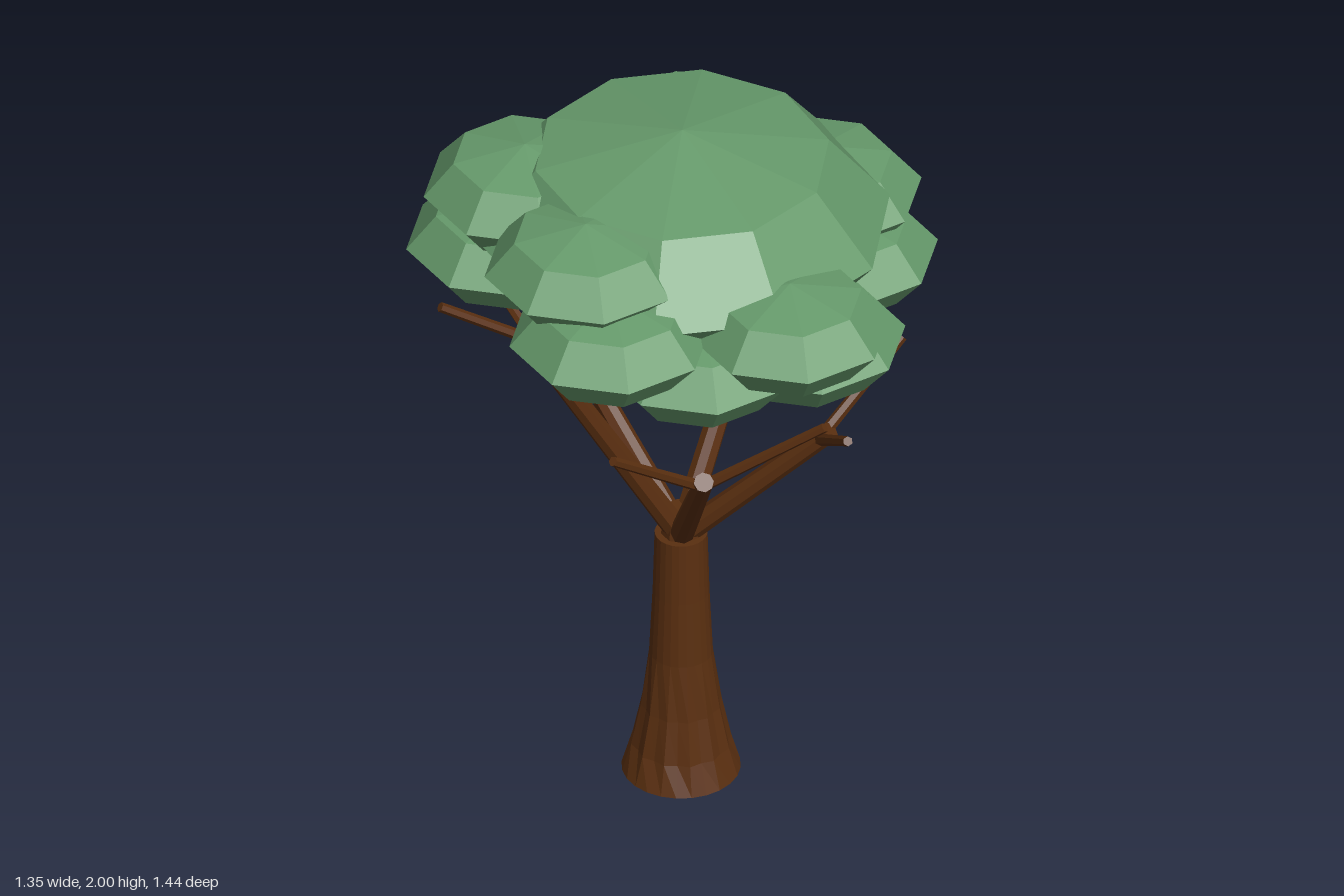
import * as THREE from 'three';

export function createModel() {
  const bark = new THREE.MeshStandardMaterial({ color: 0x5a2f10, flatShading: true });
  bark.name = 'brown bark';
  const leaf = new THREE.MeshStandardMaterial({ color: 0x669a6b, flatShading: true });
  leaf.name = 'leaf green';

  const tree = new THREE.Group();
  tree.name = 'tree';
  const add = (name, geometry, material) => {
    const mesh = new THREE.Mesh(geometry, material);
    mesh.name = name;
    tree.add(mesh);
    return mesh;
  };

  // Flared trunk, with shallow grooves between the roots
  const profile = [[0, 0], [0.153, 0], [0.13, 0.08], [0.105, 0.2], [0.082, 0.36], [0.073, 0.55], [0.068, 0.73], [0, 0.73]];
  const trunk = new THREE.LatheGeometry(profile.map(([r, y]) => new THREE.Vector2(r, y)), 24);
  const p = trunk.attributes.position;
  for (let i = 0; i < p.count; i++) {
    const y = p.getY(i);
    const side = Math.floor(i / profile.length);
    if (side % 2 && y > 0.01 && y < 0.3) {
      const k = y < 0.1 ? 0.93 : 0.94;
      p.setX(i, p.getX(i) * k);
      p.setZ(i, p.getZ(i) * k);
    }
  }
  trunk.computeVertexNormals();
  add('trunk', trunk, bark);
  const stub = add('trunkTop', new THREE.CylinderGeometry(0.046, 0.055, 0.1, 8), bark);
  stub.position.y = 0.75;

  // Straight tapered limb between two points
  const up = new THREE.Vector3(0, 1, 0);
  function limb(name, a, b, r0, r1, sides) {
    const dir = b.clone().sub(a);
    const mesh = add(name, new THREE.CylinderGeometry(r1, r0, dir.length(), sides), bark);
    mesh.position.copy(a).add(b).multiplyScalar(0.5);
    mesh.quaternion.setFromUnitVectors(up, dir.normalize());
  }

  // Five main branches, each forking into two twigs
  const root = new THREE.Vector3(0, 0.72, 0);
  const branches = [
    { end: [-0.36, 1.36, 0.09], twigs: [[-0.41, 1.54, 0.33], [-0.45, 1.45, -0.15]] },
    { end: [-0.03, 1.23, 0.49], twigs: [[0.27, 1.42, 0.57], [-0.29, 1.42, 0.62]] },
    { end: [0.24, 1.24, -0.27], twigs: [[0.53, 1.41, -0.18], [0.15, 1.41, -0.53]] },
    { end: [0.36, 1.11, 0.16], twigs: [[0.57, 1.29, 0.03], [0.35, 1.29, 0.46]] },
    { end: [-0.22, 1.09, -0.38], twigs: [[-0.57, 1.29, -0.31], [-0.03, 1.29, -0.64]] },
  ];
  for (const { end, twigs } of branches) {
    const tip = new THREE.Vector3(...end);
    limb('branch', root, tip, 0.033, 0.026, 8);
    const fork = root.clone().lerp(tip, 0.92);
    for (const t of twigs) limb('twig', fork, new THREE.Vector3(...t), 0.016, 0.013, 6);
  }

  // Flattened faceted leaf clumps
  function clump(name, x, y, z, radius, height, sides) {
    const mesh = add(name, new THREE.SphereGeometry(radius, sides, 4).scale(1, height / radius, 1), leaf);
    mesh.position.set(x, y, z);
  }
  clump('crown', 0, 1.73, 0.015, 0.54, 0.27, 10);
  const clumps = [
    // lowest layer
    [-0.18, 1.43, -0.28], [0.25, 1.43, -0.28], [0.25, 1.43, 0.15],
    // lower ring
    [-0.015, 1.54, -0.46], [0.41, 1.54, -0.03], [0.26, 1.54, 0.33], [-0.02, 1.54, 0.37], [-0.41, 1.54, -0.23],
    // upper ring
    [0.09, 1.67, -0.385], [0.385, 1.67, -0.127], [0.2, 1.67, 0.457], [-0.26, 1.67, 0.42],
    // shoulder clumps
    [-0.3, 1.8, 0.285], [-0.39, 1.8, -0.09],
  ];
  for (const [x, y, z] of clumps) clump('leafClump', x, y, z, 0.263, 0.132, 8);

  return tree;
}
